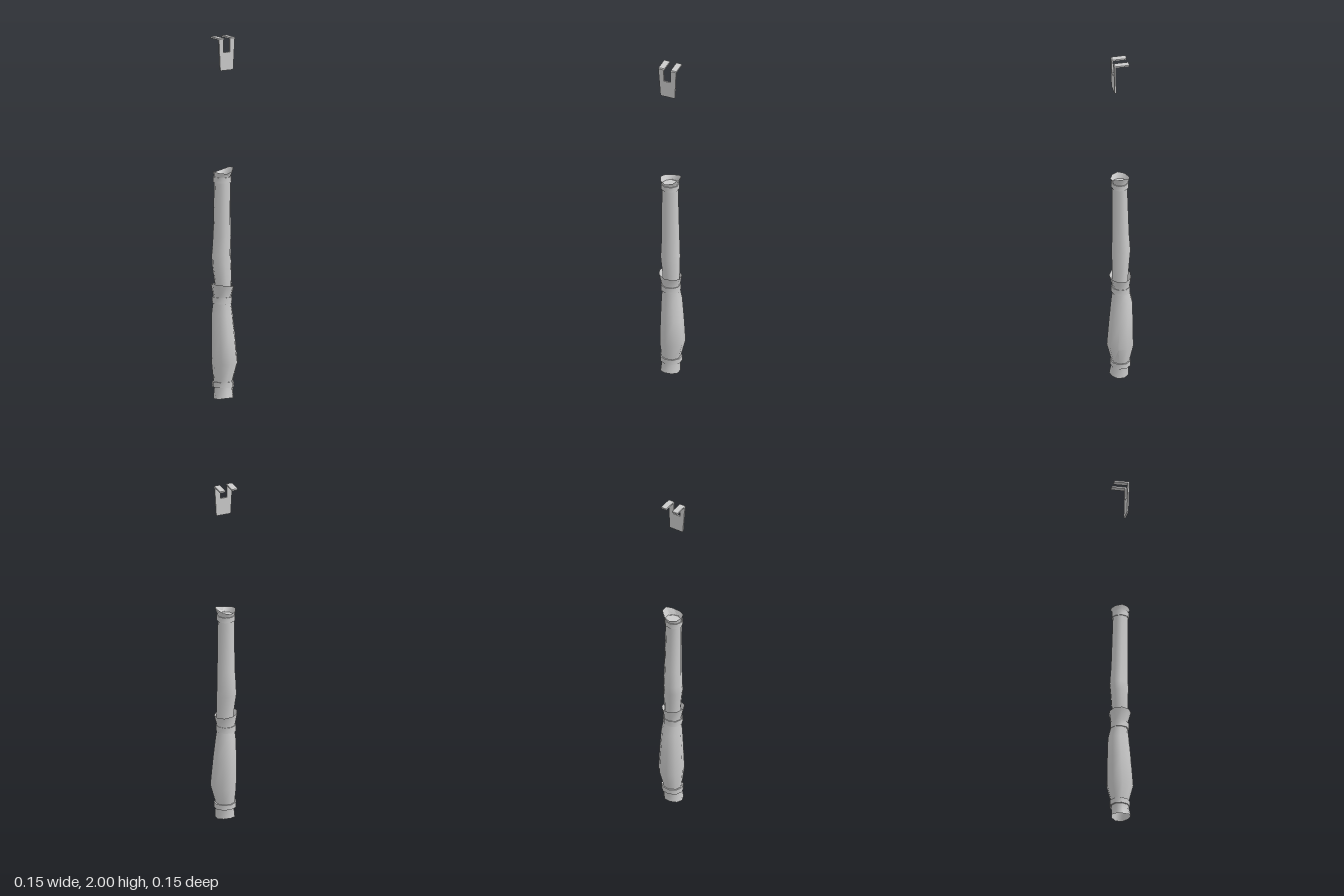
import * as THREE from 'three';
import { toCreasedNormals } from 'three/addons/utils/BufferGeometryUtils.js';

const SIDES = 9;
const material = new THREE.MeshStandardMaterial({ color: 0xcccccc, side: THREE.DoubleSide });

// Skin over slightly uneven nine-sided rings: [y, xMin, xMax, zMin, zMax, tilt, wave]
function loft(name, rings) {
  const positions = [], index = [];
  rings.forEach(([y, x0, x1, z0, z1, tilt = 0, wave = 0], r) => {
    for (let i = 0; i < SIDES; i++) {
      const a = Math.PI + (i / SIDES) * Math.PI * 2;
      const c = Math.cos(a), s = Math.sin(a);
      positions.push(
        (x0 + x1) / 2 + (c * (x1 - x0)) / 2 * (c > 0 ? 1.06 : 1),
        y + tilt * c + wave * Math.cos(2 * a),
        (z0 + z1) / 2 + (s * (z1 - z0)) / 2 * 1.015);
      if (r === 0) continue;
      const j = (i + 1) % SIDES, lo = (r - 1) * SIDES, hi = r * SIDES;
      index.push(lo + i, hi + i, lo + j, lo + j, hi + i, hi + j);
    }
  });
  const geometry = new THREE.BufferGeometry();
  geometry.setAttribute('position', new THREE.Float32BufferAttribute(positions, 3));
  geometry.setIndex(index);
  const mesh = new THREE.Mesh(toCreasedNormals(geometry, 0.8), material);
  mesh.name = name;
  return mesh;
}

// Raised strap: a short outer wall with its edges turned in
function band(name, y0, y1, x0, x1, z0, z1) {
  const d = 0.008;
  const inner = [x0 + d, x1 - d, z0 + d, z1 - d], outer = [x0, x1, z0, z1];
  return loft(name, [[y0, ...inner], [y0, ...outer], [y1, ...outer], [y1, ...inner]]);
}

// Floating forked clip: slotted front plate with two prongs bent backward
function createClip() {
  const clip = new THREE.Group();
  clip.name = 'clip';
  const t = 0.009;

  const plate = new THREE.Shape([
    [-0.052, 1.824], [-0.046, 1.82], [0.028, 1.82], [0.033, 1.824], [0.041, 1.995], [0.009, 1.995],
    [0.009, 1.92], [-0.032, 1.92], [-0.032, 1.995], [-0.063, 1.995],
  ].map(([x, y]) => new THREE.Vector2(x, y)));
  const plateGeometry = new THREE.ExtrudeGeometry(plate, { depth: t, bevelEnabled: false });
  const p = plateGeometry.attributes.position;
  for (let i = 0; i < p.count; i++) p.setZ(i, p.getZ(i) + 0.035 + (p.getY(i) - 1.995) * 0.02);
  plateGeometry.computeVertexNormals();
  const front = new THREE.Mesh(plateGeometry, material);
  front.name = 'clipPlate';
  clip.add(front);

  // Prong side profile with a chamfered front corner
  const profile = new THREE.Shape([
    [-0.04, 2 - t], [0.036, 2 - t], [0.044, 1.99], [0.044, 1.995], [0.039, 2], [-0.04, 2],
  ].map(([z, y]) => new THREE.Vector2(-z, y)));
  for (const [name, x0, x1] of [['rightProng', -0.063, -0.029], ['leftProng', 0.009, 0.042]]) {
    const g = new THREE.ExtrudeGeometry(profile, { depth: x1 - x0, bevelEnabled: false });
    g.rotateY(Math.PI / 2).translate(x0, 0, 0);
    const prong = new THREE.Mesh(g, material);
    prong.name = name;
    clip.add(prong);
  }
  return clip;
}

export function createModel() {
  const model = new THREE.Group();
  model.name = 'wrappedHandle';

  // Lower grip, from the hollow foot up to the open collar and down into it
  model.add(loft('lowerGrip', [
    [0.09, -0.011, -0.009, -0.001, 0.001],
    [0.09, -0.05, 0.035, -0.04, 0.045],
    [0.008, -0.064, 0.045, -0.046, 0.06, 0, -0.004],
    [0.06, -0.058, 0.044, -0.045, 0.052],
    [0.1, -0.06, 0.046, -0.05, 0.05],
    [0.2, -0.068, 0.071, -0.071, 0.076],
    [0.35, -0.067, 0.06, -0.07, 0.063],
    [0.47, -0.064, 0.049, -0.067, 0.051],
    [0.53, -0.06, 0.04, -0.052, 0.043],
    [0.57, -0.061, 0.041, -0.05, 0.044],
    [0.63, -0.075, 0.051, -0.06, 0.06, -0.009],
    [0.575, -0.055, 0.037, -0.044, 0.042],
  ]));

  // Upper grip, ending in an uneven flared rim with a recessed floor
  model.add(loft('upperGrip', [
    [0.57, -0.052, 0.038, -0.04, 0.044],
    [0.64, -0.055, 0.04, -0.043, 0.045],
    [0.75, -0.069, 0.04, -0.053, 0.045],
    [0.8, -0.066, 0.037, -0.058, 0.045],
    [0.9, -0.061, 0.036, -0.05, 0.045],
    [1.2, -0.059, 0.031, -0.04, 0.044],
    [1.23, -0.059, 0.033, -0.041, 0.045],
    [1.26, -0.066, 0.049, -0.051, 0.055, 0.01, 0.009],
    [1.225, -0.053, 0.031, -0.037, 0.04],
    [1.225, -0.011, -0.009, -0.001, 0.001],
  ]));

  model.add(band('footBand', 0.068, 0.098, -0.068, 0.053, -0.056, 0.056));
  model.add(band('collarBand', 0.53, 0.565, -0.066, 0.043, -0.054, 0.049));
  model.add(band('topBand', 1.197, 1.228, -0.064, 0.037, -0.046, 0.049));

  model.add(createClip());
  return model;
}
